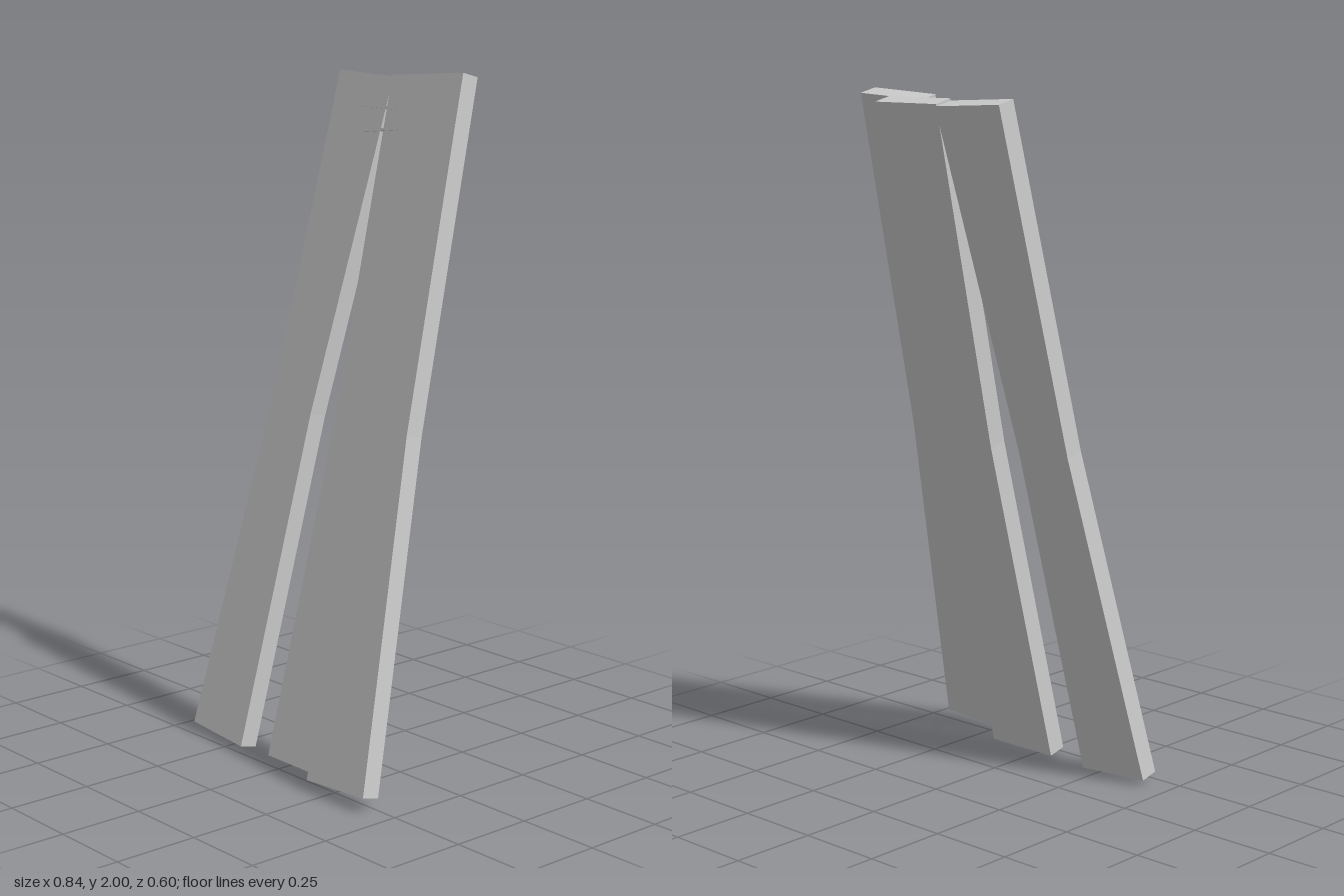
import * as THREE from 'three';

const SLOPE = -0.2457; // lean of the boards: change of z per unit of y
const THICK = 0.0575;
const normal = new THREE.Vector3(0, -SLOPE, 1).normalize();

const material = () => new THREE.MeshStandardMaterial({ color: 0xcccccc, flatShading: true });

// A leaning board from rows (bottom to top) of [left x, left y, right x, right y] on its front plane
function board(name, z0, rows) {
  const rings = rows.map(([xl, yl, xr, yr]) => {
    const a = new THREE.Vector3(xl, yl, z0 + SLOPE * yl);
    const b = new THREE.Vector3(xr, yr, z0 + SLOPE * yr);
    const back = (p) => p.clone().addScaledVector(normal, -THICK);
    return [a, b, back(b), back(a)];
  });
  const pos = [];
  const quad = (a, b, c, d) => [a, b, c, a, c, d].forEach((p) => pos.push(p.x, p.y, p.z));
  for (let i = 0; i < rings.length - 1; i++) {
    for (let k = 0; k < 4; k++) {
      const n = (k + 1) % 4;
      quad(rings[i][k], rings[i][n], rings[i + 1][n], rings[i + 1][k]);
    }
  }
  const [b0, b1, b2, b3] = rings[0];
  quad(b3, b2, b1, b0);
  quad(...rings[rings.length - 1]);
  const geo = new THREE.BufferGeometry();
  geo.setAttribute('position', new THREE.Float32BufferAttribute(pos, 3));
  geo.computeVertexNormals();
  const mesh = new THREE.Mesh(geo, material());
  mesh.name = name;
  return mesh;
}

// A small bar joining two boards
function bar(name, size, position, rotation) {
  const mesh = new THREE.Mesh(new THREE.BoxGeometry(...size), material());
  mesh.name = name;
  mesh.position.set(...position);
  mesh.rotation.set(...rotation);
  return mesh;
}

export function createModel() {
  const group = new THREE.Group();
  group.name = 'leaningBoards';

  // Three boards, narrowed at mid height; the left one lies in front of the others
  group.add(
    board('rightBoard', 0.2414, [
      [-0.422, 0.034, -0.19, 0.018],
      [-0.333, 1.01, -0.15, 1.0],
      [-0.295, 1.986, -0.058, 1.975],
    ]),
    board('middleBoard', 0.2414, [
      [-0.064, 0.025, 0.171, 0.025],
      [-0.041, 1.0, 0.146, 1.0],
      [-0.064, 1.981, 0.171, 1.981],
    ]),
    board('leftBoard', 0.309, [
      [0.187, 0.036, 0.422, 0.049],
      [0.148, 1.01, 0.333, 1.02],
      [0.057, 1.987, 0.293, 2.0],
    ]),
  );

  // Thin bars barely proud of the boards they join
  const lean = Math.atan(SLOPE);
  group.add(
    bar('upperBar', [0.2, 0.008, 0.012], [-0.075, 1.886, -0.225, ], [lean, 0, -0.02]),
    bar('lowerBar', [0.16, 0.008, 0.012], [-0.075, 1.822, -0.209], [lean, 0, 0.1]),
    bar('middlePeg', [0.09, 0.022, 0.008], [0.125, 1.005, 0.02], [0, -0.6, 0.05]),
  );
  return group;
}
